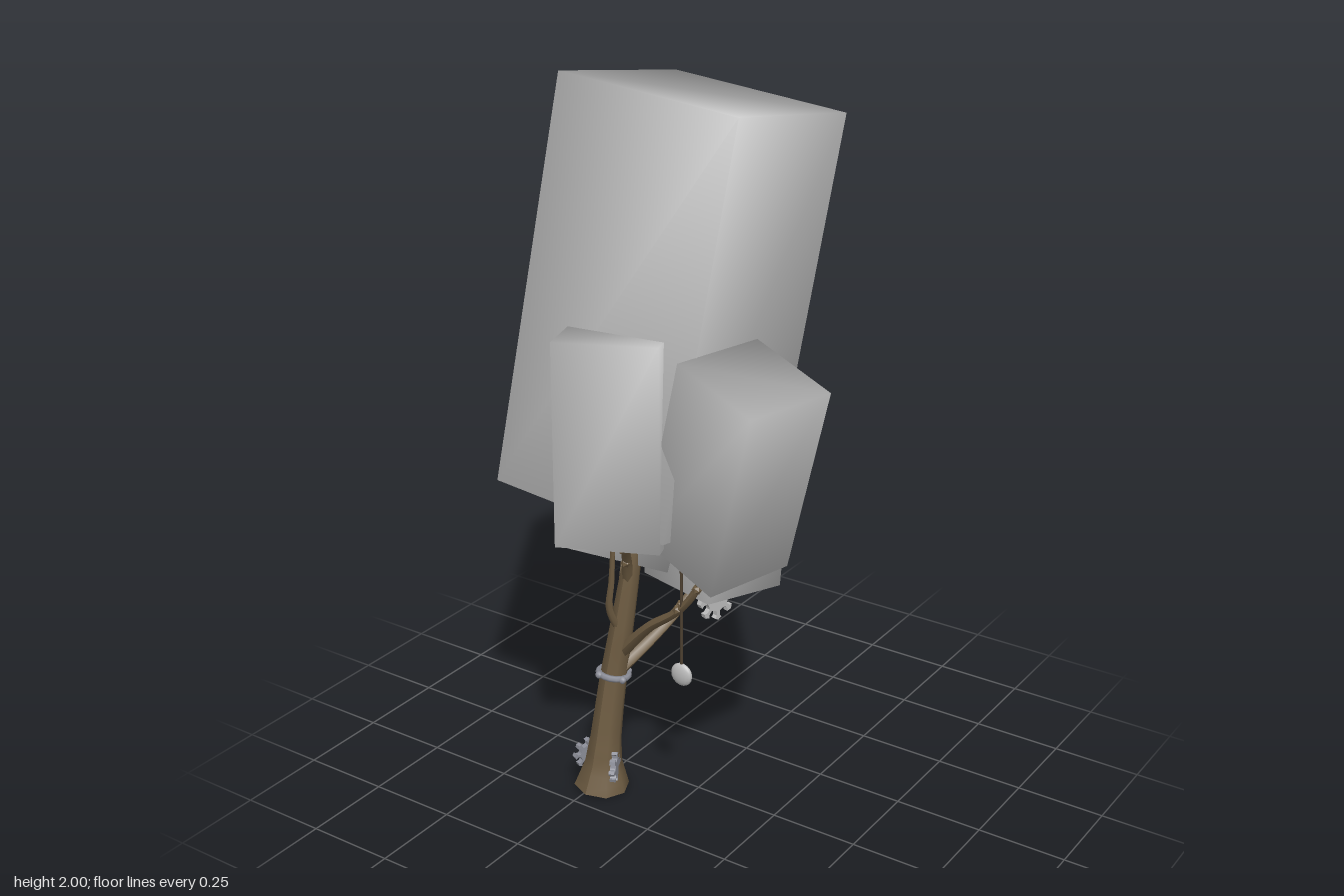
import * as THREE from 'three';
import { mergeVertices } from 'three/addons/utils/BufferGeometryUtils.js';

const mat = (name, color) => {
  const m = new THREE.MeshStandardMaterial({ color });
  m.name = name;
  return m;
};
const V = (a) => new THREE.Vector3(...a);

export function createModel() {
  const model = new THREE.Group();
  const foliage = mat('foliageGrey', 0xc4c4c4);
  const bark = mat('barkBrown', 0x6e5c42);
  const metal = mat('metalGrey', 0x8c8e98);
  const pale = mat('paleMetal', 0xbcbcbc);
  const cord = mat('cordBrown', 0x4f4232);

  const add = (name, geometry, material, position) => {
    const mesh = new THREE.Mesh(geometry, material);
    mesh.name = name;
    if (position) mesh.position.set(...position);
    model.add(mesh);
    return mesh;
  };

  // Leaning box with normals smoothed over all its corners
  function canopy(name, top, bottom, width, depth, yaw) {
    const t = V(top), b = V(bottom);
    const up = t.clone().sub(b);
    const height = up.length();
    up.normalize();
    const front = new THREE.Vector3(Math.sin(yaw), 0, Math.cos(yaw));
    front.addScaledVector(up, -front.dot(up)).normalize();
    const side = up.clone().cross(front);
    let g = new THREE.BoxGeometry(width, height, depth);
    g.deleteAttribute('normal');
    g.deleteAttribute('uv');
    g = mergeVertices(g);
    g.applyMatrix4(new THREE.Matrix4().makeBasis(side, up, front).setPosition(t.add(b).multiplyScalar(0.5)));
    g.computeVertexNormals();
    add(name, g, foliage);
  }
  canopy('mainCanopy', [-0.08, 1.935, -0.148], [-0.175, 0.88, 0.038], 0.53, 0.53, 0);
  canopy('frontCanopy', [-0.115, 1.393, 0.19], [-0.09, 0.86, 0.228], 0.272, 0.272, 0.38);
  canopy('leftCanopy', [0.278, 1.347, 0.175], [0.145, 0.833, 0.142], 0.268, 0.265, -0.25);
  canopy('backCanopy', [-0.06, 1.095, -0.228], [-0.068, 0.567, -0.168], 0.268, 0.268, -0.26);
  canopy('lowerCanopy', [-0.15, 1.2, -0.06], [-0.25, 0.705, -0.01], 0.27, 0.27, 0.5);

  // Tapered limb: a unit tube whose rings are scaled along its path
  function limb(name, points, radii, sides = 8) {
    const curve = new THREE.CatmullRomCurve3(points.map(V));
    const n = 6 * (points.length - 1);
    const g = new THREE.TubeGeometry(curve, n, 1, sides);
    const p = g.attributes.position, v = new THREE.Vector3();
    for (let i = 0; i <= n; i++) {
      const c = curve.getPointAt(i / n);
      const k = (i / n) * (radii.length - 1);
      const j = Math.min(Math.floor(k), radii.length - 2);
      const r = THREE.MathUtils.lerp(radii[j], radii[j + 1], k - j);
      for (let s = 0; s <= sides; s++) {
        const id = i * (sides + 1) + s;
        v.fromBufferAttribute(p, id).sub(c).multiplyScalar(r).add(c);
        p.setXYZ(id, v.x, Math.max(0, v.y), v.z);
      }
    }
    g.computeVertexNormals();
    add(name, g, bark);
  }
  limb('trunk', [[-0.235, 0.005, 0.14], [-0.226, 0.12, 0.135], [-0.208, 0.35, 0.11], [-0.185, 0.52, 0.095],
    [-0.165, 0.68, 0.08], [-0.15, 0.8, 0.065]],
  [0.078, 0.052, 0.044, 0.041, 0.039, 0.036, 0.034, 0.031, 0.028, 0.024, 0.02]);
  add('trunkBase', new THREE.CircleGeometry(0.075, 8).rotateX(Math.PI / 2), bark, [-0.235, 0.001, 0.14]);
  limb('leftBranch', [[-0.19, 0.42, 0.1], [-0.08, 0.54, 0.12], [0.03, 0.63, 0.14], [0.09, 0.71, 0.145], [0.145, 0.86, 0.145]],
    [0.02, 0.016, 0.012, 0.01, 0.008], 6);
  limb('backBranch', [[-0.195, 0.37, 0.1], [-0.155, 0.43, 0.01], [-0.12, 0.5, -0.09], [-0.085, 0.6, -0.165]],
    [0.023, 0.018, 0.014, 0.01], 6);
  limb('frontBranch', [[-0.172, 0.63, 0.085], [-0.15, 0.72, 0.12], [-0.12, 0.8, 0.17], [-0.09, 0.89, 0.21]],
    [0.018, 0.014, 0.012, 0.01], 6);
  limb('rightBranch', [[-0.185, 0.54, 0.09], [-0.215, 0.61, 0.05], [-0.235, 0.68, 0.01], [-0.245, 0.75, 0]],
    [0.016, 0.013, 0.011, 0.009], 6);
  limb('innerTwig', [[-0.18, 0.47, 0.095], [-0.195, 0.57, 0.14], [-0.18, 0.66, 0.15], [-0.17, 0.76, 0.155]],
    [0.014, 0.011, 0.009, 0.007], 6);

  // Small knots along the upper limbs
  [[-0.13, 0.775, 0.165], [-0.15, 0.715, 0.125], [0.095, 0.715, 0.15], [0.03, 0.635, 0.145], [-0.12, 0.505, -0.09], [-0.235, 0.68, 0.01]]
    .forEach((q) => add('knot', new THREE.IcosahedronGeometry(0.014, 0), bark, q));

  // Metal collar around the trunk
  const collar = add('collar', new THREE.TorusGeometry(0.042, 0.009, 6, 16).rotateX(Math.PI / 2), metal, [-0.208, 0.355, 0.11]);
  collar.rotation.set(-0.15, 0, -0.08);
  for (let i = 0; i < 4; i++) {
    const a = i * Math.PI / 2 + 0.4;
    const bolt = new THREE.Mesh(new THREE.SphereGeometry(0.011, 8, 6), metal);
    bolt.name = 'collarBolt';
    bolt.position.set(Math.cos(a) * 0.047, 0, Math.sin(a) * 0.047);
    collar.add(bolt);
  }

  // Toothed wheel facing +z, with eight flared teeth
  function gear(name, radius, depth, material, position, yaw) {
    const s = new THREE.Shape();
    for (let i = 0; i < 8; i++) {
      [[-0.28, 0.8], [-0.13, 0.85], [-0.1, 1.12], [-0.2, 1.3], [0, 1.42], [0.2, 1.3], [0.1, 1.12], [0.13, 0.85]].forEach(([da, r], j) => {
        const a = i * Math.PI / 4 + da;
        const x = Math.cos(a) * r * radius, y = Math.sin(a) * r * radius;
        if (i + j === 0) s.moveTo(x, y); else s.lineTo(x, y);
      });
    }
    s.closePath();
    const g = new THREE.ExtrudeGeometry(s, { depth, bevelEnabled: false }).translate(0, 0, -depth / 2);
    const mesh = add(name, g, material, position);
    mesh.rotation.y = yaw;
  }
  gear('hangingGear', 0.048, 0.016, pale, [-0.09, 0.478, -0.225], Math.PI / 2 - 0.25);
  gear('baseGearRight', 0.032, 0.016, metal, [-0.278, 0.095, 0.145], Math.PI / 2 - 0.4);
  gear('baseGearLeft', 0.032, 0.016, metal, [-0.18, 0.085, 0.15], Math.PI / 2 + 0.4);

  // Hanging disc with a slightly domed face, and the cords
  const disc = new THREE.SphereGeometry(0.033, 14, 10).scale(1, 1, 0.4);
  add('hangingDisc', disc, pale, [0.045, 0.448, 0.148]);
  const hang = (x, z, y0, y1) =>
    add('cord', new THREE.CylinderGeometry(0.004, 0.004, y1 - y0, 6), cord, [x, (y0 + y1) / 2, z]);
  hang(0.045, 0.148, 0.48, 0.65);
  hang(0.045, 0.148, 0.65, 0.86);
  hang(-0.09, -0.225, 0.5, 0.6);

  return model;
}
